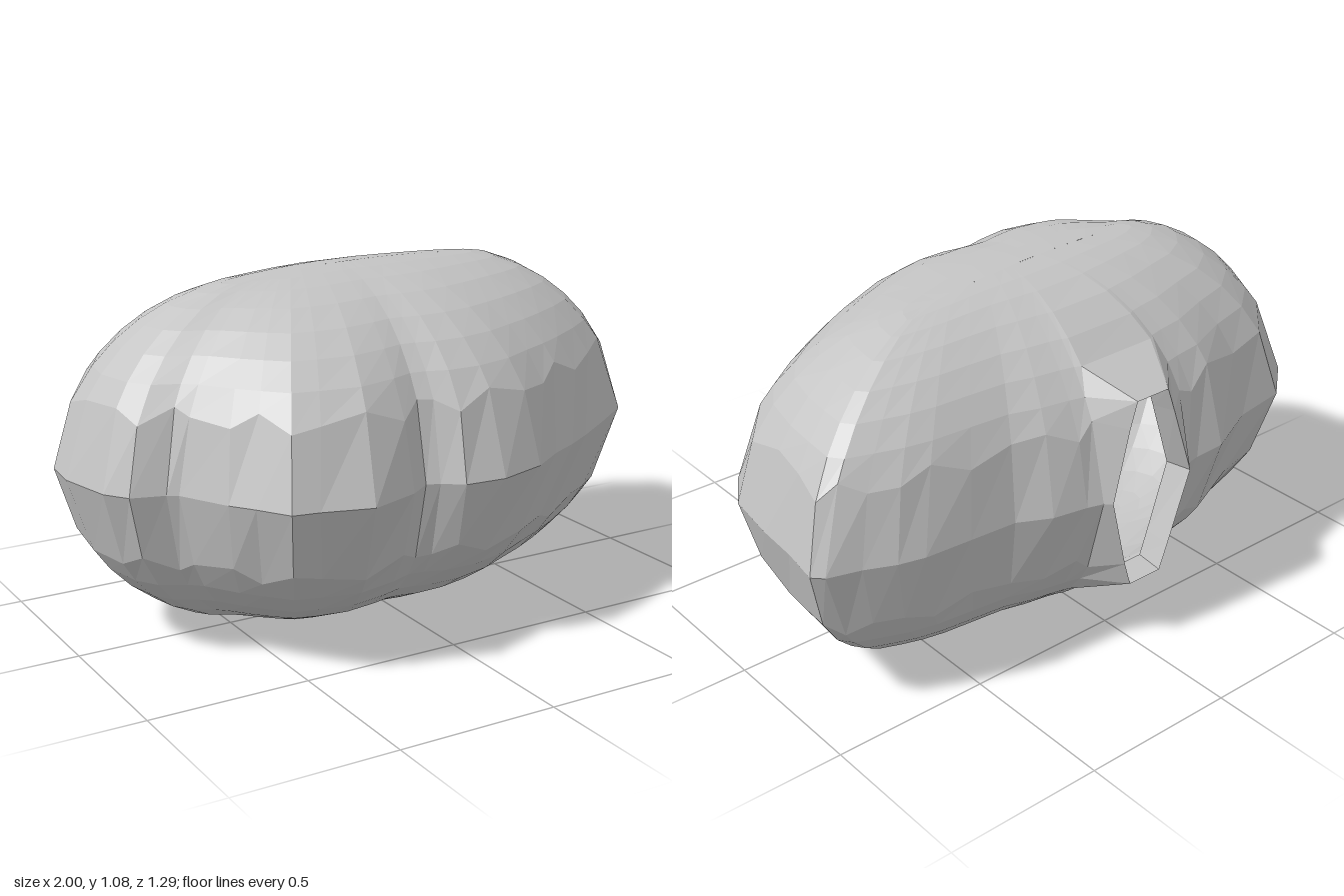
import * as THREE from 'three';

// Equator outline (x, z): from the right edge of the rear opening, round the front, to its left edge
const OUTLINE = [
  [0.12, -0.645], [0.14, -0.625], [0.19, -0.61], [0.3, -0.59], [0.4, -0.54], [0.55, -0.53], [0.7, -0.52],
  [0.78, -0.5], [0.87, -0.46], [0.97, -0.43], [1, -0.4], [0.98, -0.27], [0.97, -0.13], [0.945, 0.05],
  [0.87, 0.17], [0.73, 0.27], [0.58, 0.37], [0.48, 0.43], [0.38, 0.48], [0.26, 0.56], [0.1, 0.61],
  [-0.03, 0.6], [-0.09, 0.555], [-0.13, 0.54], [-0.2, 0.59], [-0.36, 0.645], [-0.51, 0.6], [-0.59, 0.585],
  [-0.65, 0.49], [-0.7, 0.42], [-0.78, 0.27], [-0.81, 0.25], [-0.91, 0.22], [-0.96, 0.15],
  [-1, -0.03], [-0.99, -0.155], [-0.89, -0.36], [-0.75, -0.48], [-0.56, -0.51], [-0.37, -0.6],
  [-0.26, -0.605], [-0.21, -0.615], [-0.19, -0.645],
];
const MID = 0.54;
const LEVELS = [0, 0.42, 0.57, 0.7, 0.81, 0.9, 0.96, 0.99, 1];
// Right and left edges of the opening on the first three levels
const OPENING = [[0.12, -0.19], [0.065, -0.11], [0.04, -0.08]];
const RIM_Z = -0.645;

function smoothed(points, passes) {
  let p = points;
  for (let k = 0; k < passes; k++) {
    p = p.map((v, i) => {
      const a = p[Math.max(i - 1, 0)], b = p[Math.min(i + 1, p.length - 1)];
      return [(a[0] + 2 * v[0] + b[0]) / 4, (a[1] + 2 * v[1] + b[1]) / 4];
    });
  }
  return p;
}

// Collects triangles and makes a flat-faced geometry
function facets(build) {
  const pos = [];
  const tri = (a, b, c) => pos.push(...a, ...b, ...c);
  build((a, b, c, d) => { tri(a, b, c); tri(a, c, d); });
  const g = new THREE.BufferGeometry();
  g.setAttribute('position', new THREE.Float32BufferAttribute(pos, 3));
  g.computeVertexNormals();
  return g;
}

// Half shell: elliptical rings shrinking from the outline to a central ridge
function shellGeometry(side) {
  const soft = smoothed(OUTLINE, 4);
  const last = OUTLINE.length - 1;
  const rings = LEVELS.map((level, i) => OUTLINE.map((p, j) => {
    if (i < OPENING.length && (j === 0 || j === last)) {
      return [OPENING[i][j ? 1 : 0], MID + side * MID * level, RIM_Z];
    }
    // The first ring is jagged, giving tall uneven facets along the equator
    const h = i === 1 ? level + 0.05 * Math.sin(j * 2.3) : level;
    const blend = Math.min(1, h * 0.75);
    const x = THREE.MathUtils.lerp(p[0], soft[j][0], blend);
    const z = THREE.MathUtils.lerp(p[1], soft[j][1], blend);
    const t = Math.sqrt(1 - h * h);
    const qx = 0.4 * p[0], qz = -0.09 - 0.04 * p[0];
    const droop = 1 - 0.03 * p[0] * p[0];
    return [qx + (x - qx) * t, MID + side * MID * h * droop, qz + (z - qz) * t];
  }));
  return facets((quad) => {
    for (let i = 0; i < rings.length - 1; i++) {
      for (let j = 0; j <= last; j++) {
        // The gap between the two ends stays open on the lower levels
        if (j === last && i < OPENING.length - 1) continue;
        const n = (j + 1) % (last + 1);
        const a = rings[i][j], b = rings[i][n], c = rings[i + 1][n], d = rings[i + 1][j];
        if (side > 0) quad(b, a, d, c);
        else quad(a, b, c, d);
      }
    }
  });
}

// Short lip turning inwards round the opening
function lipGeometry() {
  const loop = [];
  const add = (i, s, e) => loop.push([OPENING[i][e], MID + s * MID * LEVELS[i], RIM_Z]);
  [[0, 1, 0], [1, 1, 0], [2, 1, 0], [2, 1, 1], [1, 1, 1], [0, 1, 1],
    [1, -1, 1], [2, -1, 1], [2, -1, 0], [1, -1, 0]].forEach((v) => add(...v));
  const inner = loop.map(([x, y]) => [-0.035 + (x + 0.035) * 0.88, MID + (y - MID) * 0.95, -0.565]);
  return facets((quad) => loop.forEach((p, i) => {
    const n = (i + 1) % loop.length;
    quad(p, loop[n], inner[n], inner[i]);
  }));
}

export function createModel() {
  const group = new THREE.Group();
  group.name = 'hollowBoulder';
  const stone = new THREE.MeshStandardMaterial({ color: 0xc4c4c4, flatShading: true, side: THREE.DoubleSide });
  stone.name = 'stone grey';
  const add = (name, geometry) => {
    const mesh = new THREE.Mesh(geometry, stone);
    mesh.name = name;
    group.add(mesh);
  };
  add('upperShell', shellGeometry(1));
  add('lowerShell', shellGeometry(-1));
  add('openingLip', lipGeometry());
  return group;
}
